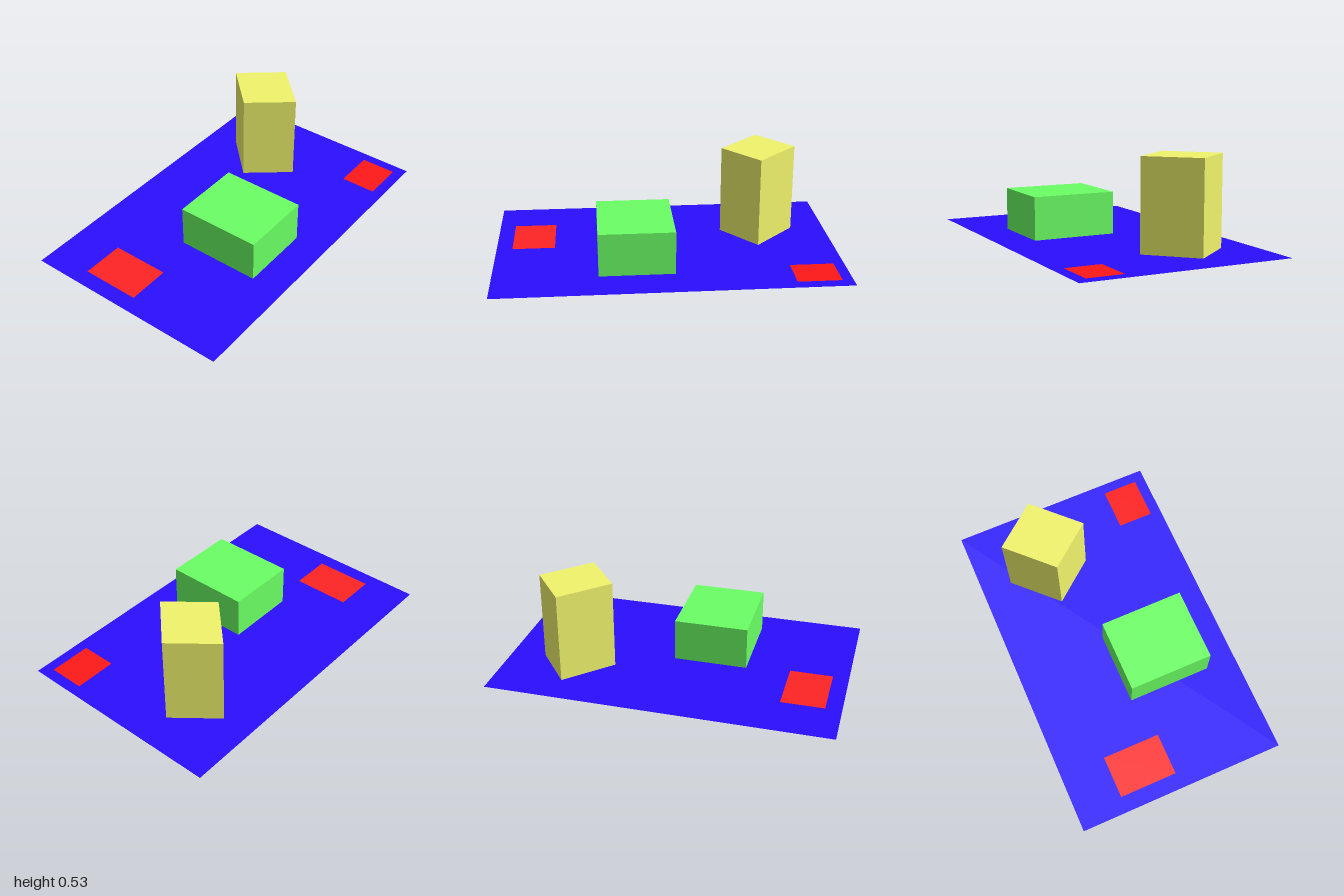
import * as THREE from 'three';

const paint = (color, side = THREE.FrontSide) =>
  new THREE.MeshStandardMaterial({ color, side, flatShading: true });

// Flat horizontal rectangle spanning x0..x1 and z0..z1
function sheet(name, color, [x0, x1, z0, z1], y) {
  const geometry = new THREE.PlaneGeometry(x1 - x0, z1 - z0).rotateX(-Math.PI / 2);
  const mesh = new THREE.Mesh(geometry, paint(color, THREE.DoubleSide));
  mesh.position.set((x0 + x1) / 2, y, (z0 + z1) / 2);
  mesh.name = name;
  return mesh;
}

export function createModel() {
  const model = new THREE.Group();
  model.name = 'blocksOnFloor';

  // Floor and the two patches lying on it
  model.add(
    sheet('floor', 0x2b0eff, [-1, 1, -0.625, 0.625], 0),
    sheet('backPatch', 0xff2323, [-0.907, -0.656, -0.35, -0.003], 0.003),
    sheet('frontPatch', 0xff1818, [0.685, 0.937, 0.345, 0.56], 0.003)
  );

  // Low block, hovering just above the floor
  const block = new THREE.Mesh(new THREE.BoxGeometry(0.43, 0.25, 0.5), paint(0x6bff64));
  block.position.set(-0.19, 0.143, 0.187);
  block.name = 'lowBlock';
  model.add(block);

  // Tall block on a turned, slightly skewed base
  const base = [[0.355, -0.198], [0.553, 0.048], [0.798, -0.198], [0.6, -0.443]];
  const shape = new THREE.Shape(base.map(([x, z]) => new THREE.Vector2(x, -z)));
  const tower = new THREE.Mesh(
    new THREE.ExtrudeGeometry(shape, { depth: 0.533, bevelEnabled: false }).rotateX(-Math.PI / 2),
    paint(0xf0f46b)
  );
  tower.name = 'tallBlock';
  model.add(tower);

  return model;
}
